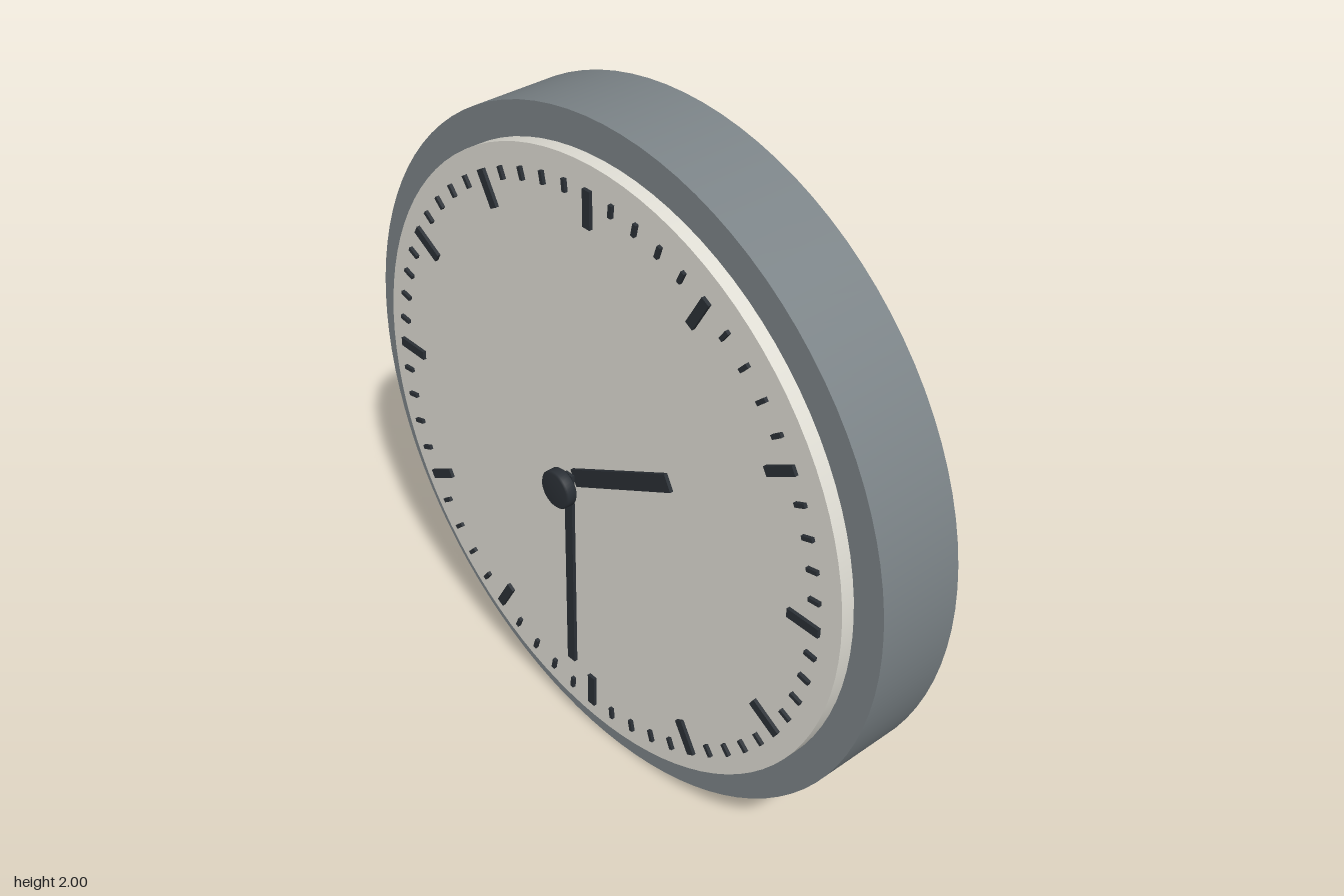
import * as THREE from 'three';

const paint = (color) => new THREE.MeshStandardMaterial({ color });

export function createModel() {
  const clock = new THREE.Group();
  clock.name = 'wallClock';
  const casePaint = paint(0x7c8488);
  const facePaint = paint(0xe0ded5);
  const darkPaint = paint(0x2b3036);

  const add = (name, geometry, material, parent = clock) => {
    const mesh = new THREE.Mesh(geometry, material);
    mesh.name = name;
    parent.add(mesh);
    return mesh;
  };

  // Solid disc facing +z, between two depths, centred on the dial axis
  const disc = (name, radius, back, front, material) => {
    const geometry = new THREE.CylinderGeometry(radius, radius, front - back, 96);
    geometry.rotateX(Math.PI / 2);
    add(name, geometry, material).position.set(0, 1, (back + front) / 2);
  };

  disc('case', 1, -0.22, 0.04, casePaint);
  disc('dial', 0.905, 0.03, 0.08, facePaint);

  // Sixty marks around the dial, every fifth one long and wide
  const marks = new THREE.Group();
  marks.name = 'dialMarks';
  marks.position.set(0, 1, 0.092);
  clock.add(marks);
  const outer = 0.845;
  for (let i = 0; i < 60; i++) {
    const isHour = i % 5 === 0;
    const length = isHour ? 0.105 : 0.036;
    const geometry = new THREE.BoxGeometry(isHour ? 0.027 : 0.012, length, 0.01);
    geometry.translate(0, outer - length / 2, 0);
    const mark = add(isHour ? 'hourMark' : 'minuteMark', geometry, darkPaint, marks);
    mark.rotation.z = -i * Math.PI / 30;
  }

  // Flat hand pointing along +x before turning, with a short tail behind the pivot
  const hand = (name, length, tail, width, z, angle, lift = 0) => {
    const geometry = new THREE.BoxGeometry(length + tail, width, 0.01);
    geometry.translate((length - tail) / 2, 0, 0);
    geometry.rotateY(-lift);
    geometry.rotateZ(angle);
    add(name, geometry, darkPaint).position.set(0, 1, z);
  };

  hand('hourHand', 0.413, 0.02, 0.05, 0.13, THREE.MathUtils.degToRad(28.7), 0.03);
  hand('minuteHand', 0.625, 0.03, 0.03, 0.163, -Math.PI / 2);

  // Centre cap with a small chamfer on both rims
  const capProfile = [[0, 0.18], [0.05, 0.18], [0.055, 0.185], [0.055, 0.21], [0.05, 0.215], [0, 0.215]]
    .map(([r, z]) => new THREE.Vector2(r, z));
  const cap = new THREE.LatheGeometry(capProfile, 40);
  cap.rotateX(Math.PI / 2);
  add('centreCap', cap, darkPaint).position.y = 1;

  return clock;
}
